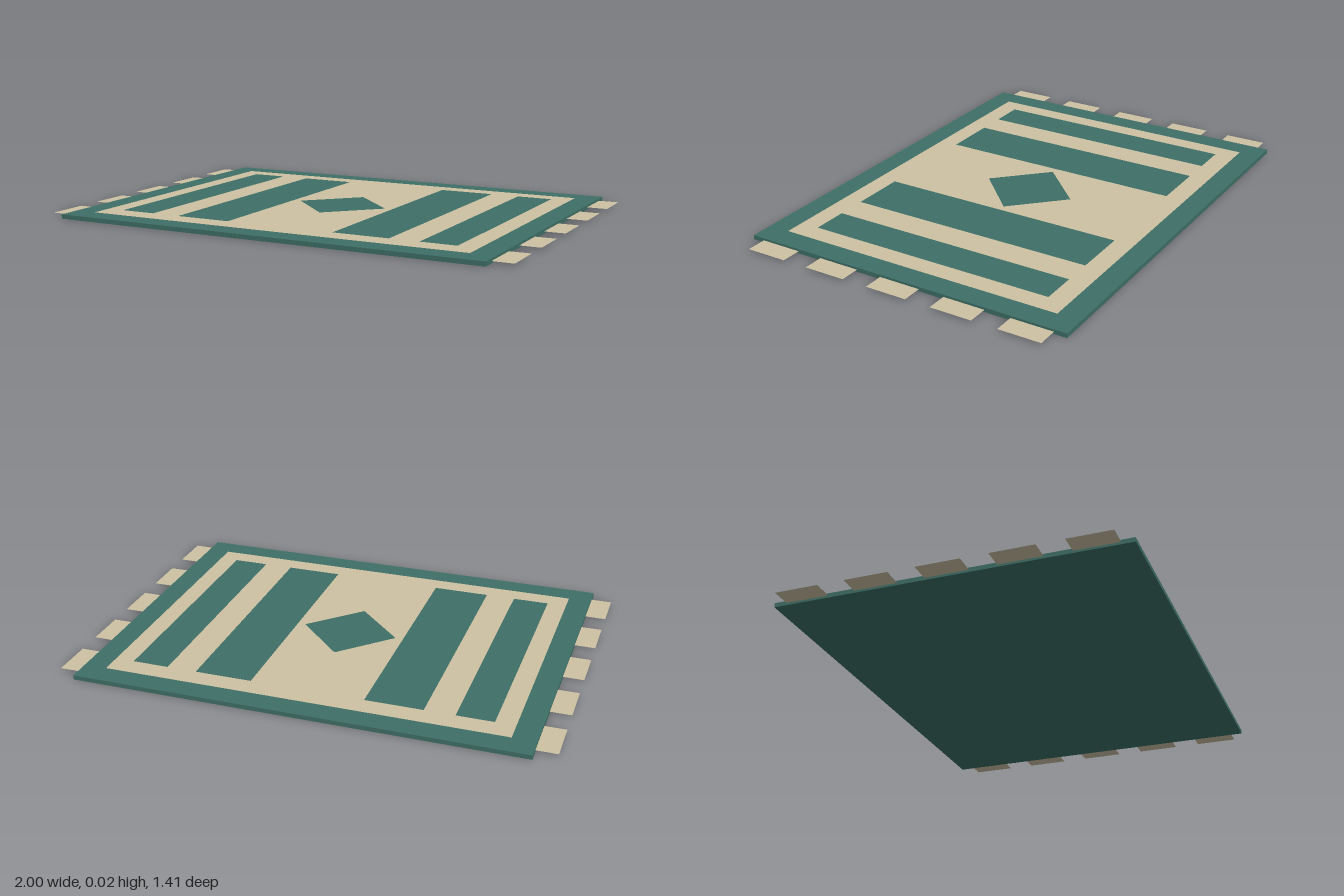
import * as THREE from 'three';

export function createModel() {
  const teal = new THREE.MeshStandardMaterial({ color: 0x3e6f66 });
  teal.name = 'teal wool';
  const cream = new THREE.MeshStandardMaterial({ color: 0xcec2a3 });
  cream.name = 'cream wool';
  const creamFringe = cream;
  creamFringe.side = THREE.DoubleSide; // the fringe is a single open sheet

  const rug = new THREE.Group();
  rug.name = 'rug';
  const thickness = 0.018;
  const layer = 0.001;

  // Flat woven piece lying at height y
  function sheet(name, width, depth, x, y, z, material) {
    const geometry = new THREE.PlaneGeometry(width, depth).rotateX(-Math.PI / 2);
    const mesh = new THREE.Mesh(geometry, material);
    mesh.name = name;
    mesh.position.set(x, y, z);
    rug.add(mesh);
    return mesh;
  }

  // Base slab, whose rim is the outer border
  const base = new THREE.Mesh(new THREE.BoxGeometry(1.83, thickness, 1.406), teal);
  base.name = 'base';
  base.position.y = thickness / 2;
  rug.add(base);

  // Cream inlay and central field
  sheet('innerBorder', 1.64, 1.22, 0, thickness + layer, 0, cream);
  sheet('field', 1.48, 1.054, 0, thickness + 2 * layer, 0, cream);

  // Mirrored stripes
  for (const side of [-1, 1]) {
    const label = side > 0 ? 'left' : 'right';
    sheet(label + 'OuterStripe', 0.15, 1.054, side * 0.665, thickness + 3 * layer, 0, teal);
    sheet(label + 'InnerStripe', 0.235, 1.054, side * 0.35, thickness + 3 * layer, 0, teal);

    // Fringe tabs along the short ends
    for (let i = -2; i <= 2; i++) {
      sheet(label + 'FringeTab' + (i + 3), 0.085, 0.175, side * 0.9575, thickness / 2, i * 0.282, creamFringe);
    }
  }

  // Centre diamond
  const diamond = sheet('diamond', 0.2 * Math.SQRT2, 0.2 * Math.SQRT2, 0, thickness + 3 * layer, 0, teal);
  diamond.rotation.y = Math.PI / 4;

  return rug;
}
